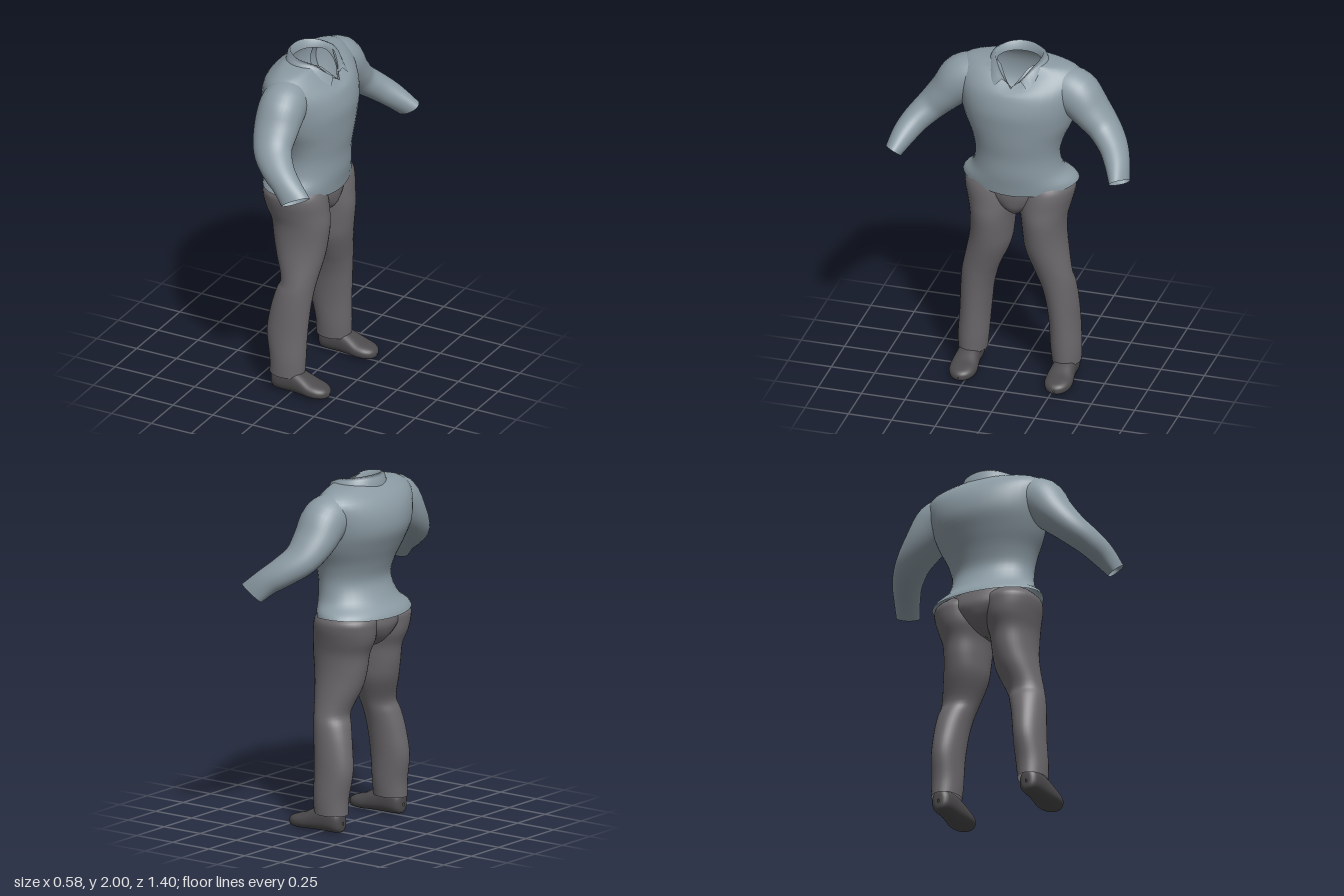
import * as THREE from 'three';

const SIDES = 36;
const V = (x, y, z) => new THREE.Vector3(x, y, z);
const mat = (name, color) => Object.assign(
  new THREE.MeshStandardMaterial({ color, side: THREE.DoubleSide }), { name });

// Resample a table of section values with a smooth cubic
function smooth(rows, steps = 4) {
  const out = [];
  const at = i => rows[Math.min(Math.max(i, 0), rows.length - 1)];
  for (let i = 0; i < rows.length - 1; i++) {
    for (let k = 0; k < steps; k++) {
      const t = k / steps, [p, a, b, n] = [at(i - 1), at(i), at(i + 1), at(i + 2)];
      out.push(a.map((_, c) => {
        const m0 = (b[c] - p[c]) / 2, m1 = (n[c] - a[c]) / 2, d = b[c] - a[c];
        return a[c] + t * (m0 + t * (3 * d - 2 * m0 - m1 + t * (m0 + m1 - 2 * d)));
      }));
    }
  }
  out.push(rows[rows.length - 1]);
  return out;
}

// Skin a list of point rings
function loft(rings, closed = true) {
  const n = rings[0].length, index = [];
  for (let i = 0; i < rings.length - 1; i++) {
    for (let j = 0; j < (closed ? n : n - 1); j++) {
      const k = (j + 1) % n, a = i * n + j, b = i * n + k, c = a + n, d = b + n;
      index.push(a, c, b, b, c, d);
    }
  }
  const g = new THREE.BufferGeometry().setFromPoints(rings.flat());
  g.setIndex(index);
  g.computeVertexNormals();
  return g;
}

const circle = fn => Array.from({ length: SIDES }, (_, j) => fn(j / SIDES * Math.PI * 2));

// Upright body section: height, back x, front x, centre z, half width
const section = (y, x0, x1, cz, rz, shift) => circle(a => {
  const p = V((x0 + x1) / 2 + (x1 - x0) / 2 * Math.cos(a), y, cz + rz * Math.sin(a));
  return shift ? shift(p, a) : p;
});

function torso() {
  // y, back, front, half width, side lift of the hem, depth of the neck opening
  const rows = [
    [1.175, -0.28, 0.15, 0.33, 0.045, 0], [1.22, -0.265, 0.157, 0.315, 0.025, 0],
    [1.3, -0.215, 0.17, 0.26, 0, 0], [1.4, -0.175, 0.175, 0.24, 0, 0],
    [1.5, -0.20, 0.19, 0.26, 0, 0], [1.6, -0.245, 0.20, 0.305, 0, 0],
    [1.7, -0.285, 0.205, 0.335, 0, 0], [1.8, -0.28, 0.18, 0.355, 0, 0],
    [1.88, -0.24, 0.12, 0.355, 0, 0.055], [1.935, -0.175, 0.07, 0.285, 0, 0.09],
    [1.955, -0.145, 0.07, 0.15, 0, 0.115],
  ];
  return loft(smooth(rows).map(([y, x0, x1, w, lift, drop]) => section(y, x0, x1, 0, w, (p, a) => {
    const v = Math.max(0, 1 - Math.min(a, Math.PI * 2 - a) / 0.6);
    p.y += lift * Math.sin(a) ** 2 + (Math.cos(a) < 0 ? lift * 0.7 * Math.cos(a) ** 2 : 0) - drop * v;
    p.x += drop * 0.6 * v;
    return p;
  })));
}

// Folded collar, open at the throat: outer edge, fold, inner edge
function collar() {
  const line = (rx, rz, start, push, height) => Array.from({ length: 41 }, (_, j) => {
    const a = start + (Math.PI * 2 - 2 * start) * j / 40, c = Math.cos(a);
    const f = Math.max(0, c) ** 2;
    return V(-0.03 + rx * c + push * f, height(f, c), rz * Math.sin(a));
  });
  return loft([
    line(0.145, 0.172, 0.58, 0.07, f => 1.935 - 0.125 * f),
    line(0.135, 0.155, 0.36, 0.035, (f, c) => 1.97 - 0.014 * c - 0.09 * f * f),
    line(0.118, 0.132, 0.22, 0.03, (f, c) => 1.98 - 0.02 * c - 0.105 * f * f),
    line(0.108, 0.122, 0.16, 0.03, f => 1.94 - 0.09 * f),
  ], false);
}

function sleeve(s) {
  // centre x, y, z, half width fore-aft, half thickness, turn toward the cuff
  const rows = smooth([
    [-0.05, 1.82, 0.22, 0.12, 0.115, 0], [-0.04, 1.78, 0.325, 0.133, 0.132, 0],
    [-0.035, 1.685, 0.412, 0.128, 0.108, 0], [-0.01, 1.595, 0.498, 0.11, 0.088, 0],
    [0.06, 1.525, 0.57, 0.092, 0.077, 0], [0.138, 1.465, 0.615, 0.08, 0.068, 0.3],
    [0.217, 1.395, 0.652, 0.085, 0.05, 1],
  ]);
  const pts = rows.map(r => V(r[0], r[1], r[2] * s));
  const cuff = V(0.5, -0.8, 0.45 * s).normalize();
  return loft(rows.map(([, , , ru, rv, turn], i) => {
    const t = pts[Math.min(i + 1, pts.length - 1)].clone().sub(pts[Math.max(i - 1, 0)]).normalize();
    t.lerp(cuff, turn).normalize();
    const u = V(1, 0, 0).addScaledVector(t, -t.x).normalize();
    const v = u.clone().cross(t);
    return circle(a => pts[i].clone().addScaledVector(u, ru * Math.cos(a)).addScaledVector(v, rv * Math.sin(a)));
  }));
}

// Middle of the trousers, bridging the two legs
function seat() {
  const rows = [
    [1.015, -0.09, 0.04, 0], [1.03, -0.15, 0.08, 0.045], [1.07, -0.205, 0.118, 0.11],
    [1.12, -0.235, 0.132, 0.19], [1.17, -0.245, 0.135, 0.24], [1.24, -0.225, 0.13, 0.26],
  ];
  return loft(smooth(rows).map(([y, x0, x1, w]) => section(y, x0, x1, 0, w)));
}

function trouserLeg(s) {
  // y, back, front, inner z, outer z; the top tucks in under the shirt
  const rows = [
    [0.105, -0.145, 0.06, 0.19, 0.35], [0.2, -0.147, 0.065, 0.18, 0.352],
    [0.35, -0.17, 0.07, 0.17, 0.343], [0.5, -0.15, 0.08, 0.15, 0.335],
    [0.6, -0.125, 0.09, 0.125, 0.325], [0.67, -0.105, 0.10, 0.1, 0.31],
    [0.8, -0.155, 0.125, 0.045, 0.285], [0.9, -0.18, 0.14, 0.03, 0.273],
    [1.0, -0.195, 0.15, 0.02, 0.275], [1.08, -0.228, 0.143, 0.003, 0.293],
    [1.15, -0.24, 0.135, 0, 0.31], [1.2, -0.235, 0.123, 0, 0.308], [1.25, -0.18, 0.1, 0.01, 0.26],
  ];
  return loft(smooth(rows).map(([y, x0, x1, z0, z1]) =>
    section(y, x0, x1, s * (z0 + z1) / 2, (z1 - z0) / 2)));
}

function shoe(s) {
  // x, half width, bottom, top
  const rows = [
    [-0.13, 0.005, 0.05, 0.07], [-0.124, 0.035, 0.015, 0.12], [-0.09, 0.058, 0.005, 0.14],
    [0, 0.064, 0.005, 0.145], [0.06, 0.071, 0.005, 0.125], [0.12, 0.078, 0.003, 0.095],
    [0.17, 0.071, 0.004, 0.08], [0.205, 0.05, 0.008, 0.067], [0.222, 0.024, 0.018, 0.052],
    [0.227, 0.003, 0.03, 0.038],
  ];
  const flat = v => Math.sign(v) * Math.abs(v) ** 0.85;
  return loft(smooth(rows).map(([x, w, y0, y1]) => circle(a => V(
    x,
    (y0 + y1) / 2 + (y1 - y0) / 2 * flat(Math.cos(a)),
    s * 0.275 - w * flat(Math.sin(a))))));
}

export function createModel() {
  const root = new THREE.Group();
  root.name = 'outfit';
  const shirt = mat('shirt blue grey', 0x8b9aa3);
  const cloth = mat('trouser grey', 0x6b686b);
  const leather = mat('shoe dark grey', 0x4c4a4c);
  const add = (name, geometry, material) => {
    const mesh = new THREE.Mesh(geometry, material);
    mesh.name = name;
    root.add(mesh);
  };

  add('shirtBody', torso(), shirt);
  add('collar', collar(), shirt);
  add('trouserSeat', seat(), cloth);
  // The outfit faces +x, so its own left is -z
  for (const [side, s] of [['left', -1], ['right', 1]]) {
    add(side + 'Sleeve', sleeve(s), shirt);
    add(side + 'TrouserLeg', trouserLeg(s), cloth);
    add(side + 'Shoe', shoe(s), leather);
  }
  return root;
}
